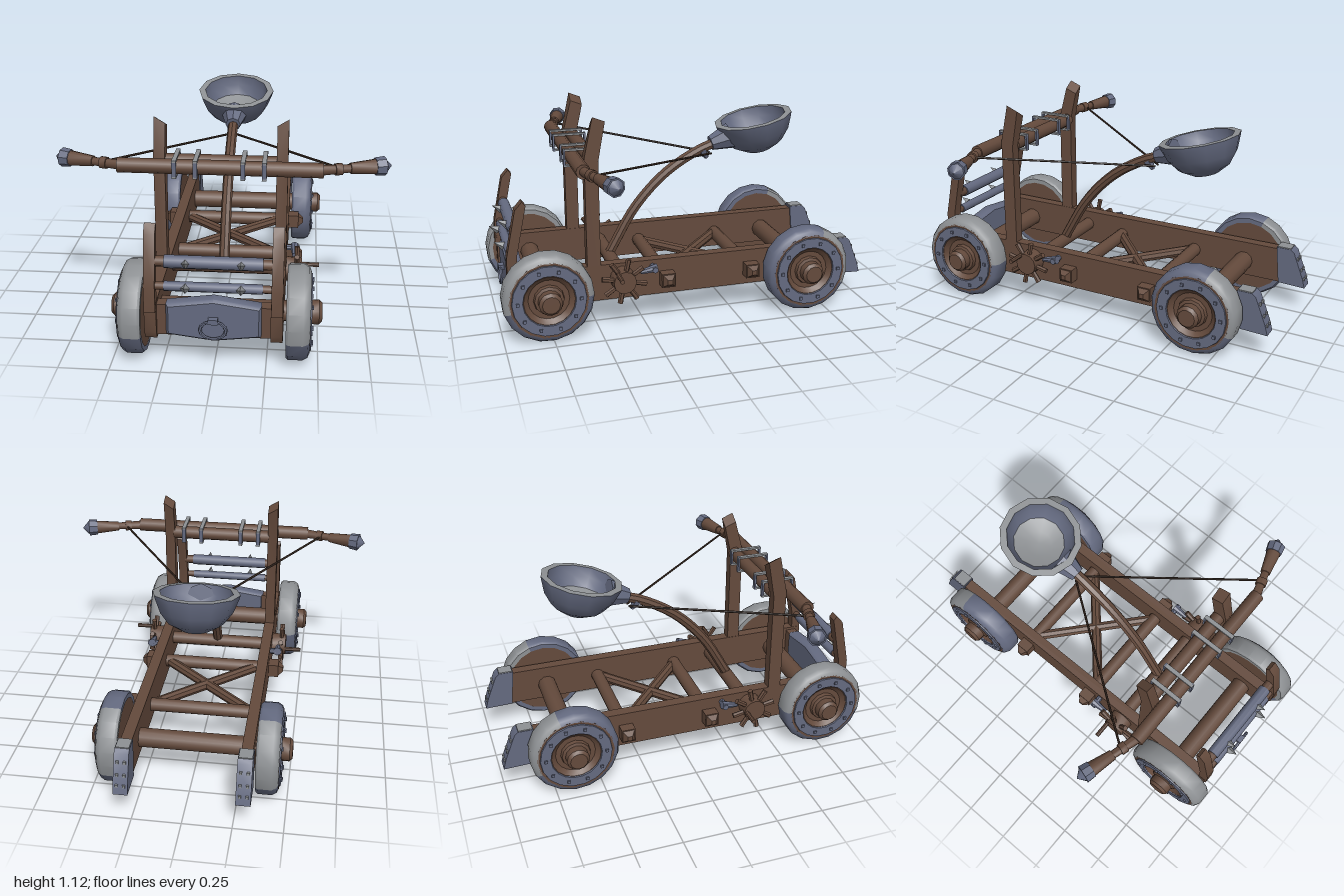
import * as THREE from 'three';
import { toCreasedNormals } from 'three/addons/utils/BufferGeometryUtils.js';

const V = (x, y, z) => new THREE.Vector3(x, y, z);

export function createModel() {
  const paint = (name, color) => {
    const m = new THREE.MeshStandardMaterial({ color });
    m.name = name;
    return m;
  };
  const wood = paint('wood', 0x644a3c);
  const steel = paint('blue steel', 0x646a80);
  const iron = paint('pale iron', 0x8e9194);
  const rope = paint('dark rope', 0x3a2b22);
  const root = new THREE.Group();
  root.name = 'catapult';

  const add = (parent, name, geo, mat, x = 0, y = 0, z = 0) => {
    const mesh = new THREE.Mesh(toCreasedNormals(geo, 0.7), mat);
    mesh.name = name;
    mesh.position.set(x, y, z);
    parent.add(mesh);
    return mesh;
  };
  const box = (parent, name, mat, w, h, d, x, y, z) =>
    add(parent, name, new THREE.BoxGeometry(w, h, d), mat, x, y, z);
  // Tapered rod from a to b
  const rod = (parent, name, mat, a, b, ra, rb = ra, sides = 10) => {
    const dir = b.clone().sub(a);
    const mesh = add(parent, name, new THREE.CylinderGeometry(rb, ra, dir.length(), sides), mat);
    mesh.position.copy(a).add(b).multiplyScalar(0.5);
    mesh.quaternion.setFromUnitVectors(V(0, 1, 0), dir.normalize());
    return mesh;
  };
  // Side outline given as [z, y], extruded across x and centred on x
  const slab = (points, width, x) => {
    const shape = new THREE.Shape(points.map(p => new THREE.Vector2(...p)));
    const geo = new THREE.ExtrudeGeometry(shape, { depth: width, bevelEnabled: false });
    return geo.rotateY(-Math.PI / 2).translate(x + width / 2, 0, 0);
  };
  // Profile of [radius, x] turned around the x axis, between two angles in degrees
  const turned = (profile, from = 0, to = 360, segments = 18) => {
    const a = THREE.MathUtils.degToRad(from), b = THREE.MathUtils.degToRad(to);
    const n = Math.max(2, Math.round(segments * (to - from) / 360));
    const geo = new THREE.LatheGeometry(profile.map(p => new THREE.Vector2(...p)), n, -b, b - a);
    return geo.rotateZ(-Math.PI / 2);
  };

  // Wheel on the +x side; part of the tyre is paler iron
  const wheel = (parent, name, z, from, to) => {
    const g = new THREE.Group();
    g.name = name;
    g.position.set(0, 0.235, z);
    parent.add(g);
    const tyre = [[0.2, 0.343], [0.225, 0.343], [0.235, 0.355], [0.235, 0.425], [0.222, 0.448], [0.2, 0.458]];
    add(g, 'paleTyre', turned(tyre, from, to), iron);
    add(g, 'darkTyre', turned(tyre, to, from + 360), steel);
    add(g, 'wheelDisc', turned([[0, 0.345], [0.203, 0.345], [0.203, 0.457], [0.19, 0.457],
      [0.13, 0.457], [0.105, 0.435], [0, 0.435]]), wood);
    add(g, 'wheelRing', turned([[0.192, 0.45], [0.188, 0.464], [0.135, 0.464], [0.13, 0.45]]), steel);
    add(g, 'hub', turned([[0.08, 0.43], [0.075, 0.455], [0.06, 0.46], [0.06, 0.5], [0.045, 0.515], [0, 0.515]], 0, 360, 12), wood);
    for (let i = 0; i < 10; i++) {
      const t = i * Math.PI / 5;
      box(g, 'ringStud', steel, 0.012, 0.016, 0.016, 0.466, 0.16 * Math.sin(t), 0.16 * Math.cos(t));
    }
  };

  // Everything that exists once on each side
  for (const s of [1, -1]) {
    const g = new THREE.Group();
    g.name = s > 0 ? 'leftSide' : 'rightSide';
    g.scale.x = s;
    root.add(g);
    wheel(g, 'frontWheel', 0.77, -15, 180);
    wheel(g, 'rearWheel', -0.64, 110, 205);

    add(g, 'sideRail', slab([[-0.95, 0.15], [0.93, 0.15], [0.95, 0.19], [0.95, 0.345], [-0.87, 0.345]], 0.058, 0.3), wood);
    add(g, 'rearCap', slab([[-0.85, 0.15], [-1, 0.145], [-0.985, 0.2], [-0.93, 0.34], [-0.91, 0.357], [-0.83, 0.357]], 0.074, 0.3), steel);
    box(g, 'capTop', iron, 0.068, 0.008, 0.075, 0.3, 0.358, -0.872);
    for (const [y, z] of [[0.3, -0.947], [0.24, -0.97], [0.19, -0.988]])
      for (const x of [0.282, 0.318]) box(g, 'capRivet', iron, 0.014, 0.014, 0.014, x, y, z);

    // Upright that leans back at the tip and is cut on a slant
    const post = slab([[0.551, 0.2], [0.48, 0.2], [0.48, 0.9], [0.442, 1.1], [0.505, 1.125], [0.551, 0.92]], 0.056, 0.301);
    const p = post.attributes.position;
    for (let i = 0; i < p.count; i++)
      if (p.getY(i) > 1.05 && p.getX(i) < 0.3) p.setY(i, p.getY(i) - 0.035);
    add(g, 'upright', post, wood);
    add(g, 'frontPost', slab([[0.91, 0.3], [0.96, 0.3], [0.958, 0.43], [0.905, 0.68], [0.868, 0.722], [0.85, 0.7], [0.905, 0.44]], 0.054, 0.3), wood);

    // Swept bow tip
    const at = t => V(0.48, 0.9, 0.588).lerp(V(0.815, 0.9, 0.49), t);
    rod(g, 'bowNeck', wood, at(0), at(0.5), 0.026, 0.02);
    rod(g, 'bowCollar', wood, at(0.22), at(0.32), 0.03);
    rod(g, 'bowTip', wood, at(0.44), at(0.82), 0.027, 0.039);
    rod(g, 'bowCap', steel, at(0.8), at(0.94), 0.044, 0.048, 8);
    rod(g, 'bowCapPoint', steel, at(0.94), at(1.04), 0.04, 0.002, 8);
    rod(g, 'bowString', rope, V(0.57, 0.9, 0.54), V(0.015, 0.81, -0.22), 0.006, 0.006, 6);
    rod(g, 'stringKnot', rope, V(0.56, 0.9, 0.565), V(0.585, 0.9, 0.557), 0.029);

    // Square beam ends pinned through the rail
    for (const z of [-0.34, 0.13]) {
      box(g, 'beamEnd', wood, 0.06, 0.075, 0.075, 0.355, 0.24, z);
      const tip = rod(g, 'beamEndTip', wood, V(0.385, 0.24, z), V(0.412, 0.24, z), 0.045, 0.018, 4);
      tip.rotateY(Math.PI / 4);
    }

    // Windlass wheel with spokes, and its catch
    rod(g, 'windlassHub', wood, V(0.33, 0.265, 0.37), V(0.41, 0.265, 0.37), 0.065, 0.06, 12);
    for (let i = 0; i < 8; i++) {
      const t = i * Math.PI / 4 + 0.2;
      rod(g, 'windlassSpoke', wood, V(0.385, 0.265, 0.37),
        V(0.385, 0.265 + 0.12 * Math.sin(t), 0.37 + 0.12 * Math.cos(t)), 0.011, 0.015, 6);
    }
    rod(g, 'catchArm', steel, V(0.37, 0.3, 0.28), V(0.37, 0.315, 0.19), 0.012, 0.024, 8);
    rod(g, 'catchPin', steel, V(0.32, 0.31, 0.205), V(0.395, 0.31, 0.205), 0.016, 0.016, 8);

    // Bands around bow and cross beam
    for (const x of [0.115, 0.217]) {
      box(g, 'bowBand', iron, 0.022, 0.01, 0.18, x, 0.941, 0.548);
      box(g, 'bowBand', iron, 0.022, 0.01, 0.18, x, 0.859, 0.548);
      for (const z of [0.463, 0.633]) box(g, 'bowBand', steel, 0.022, 0.092, 0.01, x, 0.9, z);
    }
    // Spikes on the guard bars
    for (const [y, z] of [[0.545, 0.925], [0.43, 0.95]])
      rod(g, 'guardSpike', iron, V(0.13, y, z), V(0.13, y + 0.025, z + 0.05), 0.024, 0.001, 4);
  }

  // Axles, cross beams and braces
  const across = (name, mat, half, y, z, r, sides = 10) =>
    rod(root, name, mat, V(-half, y, z), V(half, y, z), r, r, sides);
  for (const z of [0.77, -0.64]) across('axle', wood, 0.48, 0.235, z, 0.052);
  for (const z of [-0.34, 0.13]) across('crossBeam', wood, 0.34, 0.24, z, 0.037);
  across('windlassDrum', wood, 0.4, 0.265, 0.365, 0.037);
  across('uprightBeam', wood, 0.28, 0.9, 0.505, 0.036);
  across('bow', wood, 0.5, 0.9, 0.588, 0.037);
  for (const s of [1, -1])
    rod(root, 'diagonalBrace', wood, V(-0.26 * s, 0.24, -0.33), V(0.26 * s, 0.24, 0.13), 0.028, 0.028, 8);
  rod(root, 'crankHandle', wood, V(0.4, 0.31, 0.405), V(0.5, 0.31, 0.405), 0.012, 0.012, 8);
  rod(root, 'crankHandle', wood, V(-0.4, 0.26, 0.325), V(-0.5, 0.26, 0.325), 0.012, 0.012, 8);

  // Front guard bars
  for (const [y, z, r] of [[0.545, 0.905, 0.032], [0.43, 0.93, 0.024]]) {
    across('guardBarCore', wood, 0.285, y, z, r * 0.8);
    across('guardBar', steel, 0.232, y, z, r);
  }

  // Front bumper, plate and ring
  box(root, 'bumperBeam', wood, 0.55, 0.16, 0.06, 0, 0.25, 0.9);
  const outline = [[-0.215, 0.185], [0, 0.158], [0.215, 0.185], [0.215, 0.325], [0, 0.355], [-0.215, 0.325]];
  const plate = new THREE.ExtrudeGeometry(new THREE.Shape(outline.map(q => new THREE.Vector2(...q))),
    { depth: 0.05, bevelThickness: 0.015, bevelSize: 0.012, bevelSegments: 1 });
  add(root, 'bumperPlate', plate, steel, 0, 0, 0.88);
  const ring = add(root, 'bumperRing', new THREE.TorusGeometry(0.062, 0.009, 6, 14), steel, 0, 0.222, 0.965);
  ring.scale.y = 0.75;
  box(root, 'ringStaple', steel, 0.045, 0.025, 0.04, 0, 0.268, 0.955);

  // Throwing arm
  const path = new THREE.CatmullRomCurve3([V(0, 0.25, 0.38), V(0, 0.35, 0.325), V(0, 0.54, 0.21),
    V(0, 0.72, 0.035), V(0, 0.84, -0.17), V(0, 0.875, -0.28)]);
  add(root, 'throwingArm', new THREE.TubeGeometry(path, 16, 0.028, 8), wood);
  rod(root, 'stringHook', steel, V(0, 0.83, -0.17), V(0, 0.785, -0.2), 0.03, 0.012, 6);
  rod(root, 'bowlNeck', steel, V(0, 0.865, -0.22), V(0, 0.9, -0.33), 0.042, 0.075, 8);

  // Bowl, tipped forward
  const bowl = new THREE.Group();
  bowl.name = 'bowl';
  bowl.position.set(0, 0.998, -0.465);
  bowl.rotation.x = 0.217;
  root.add(bowl);
  const lathe = pts => new THREE.LatheGeometry(pts.map(q => new THREE.Vector2(...q)), 12);
  add(bowl, 'bowlOutside', lathe([[0, -0.2], [0.07, -0.19], [0.14, -0.15], [0.185, -0.09], [0.212, -0.02], [0.218, 0]]), steel);
  add(bowl, 'bowlRim', lathe([[0.218, 0], [0.182, 0.002]]), iron);
  add(bowl, 'bowlWall', lathe([[0.182, 0.002], [0.172, -0.05], [0.138, -0.1]]), steel);
  add(bowl, 'bowlFloor', lathe([[0.138, -0.1], [0.07, -0.125], [0, -0.13]]), iron);

  return root;
}
